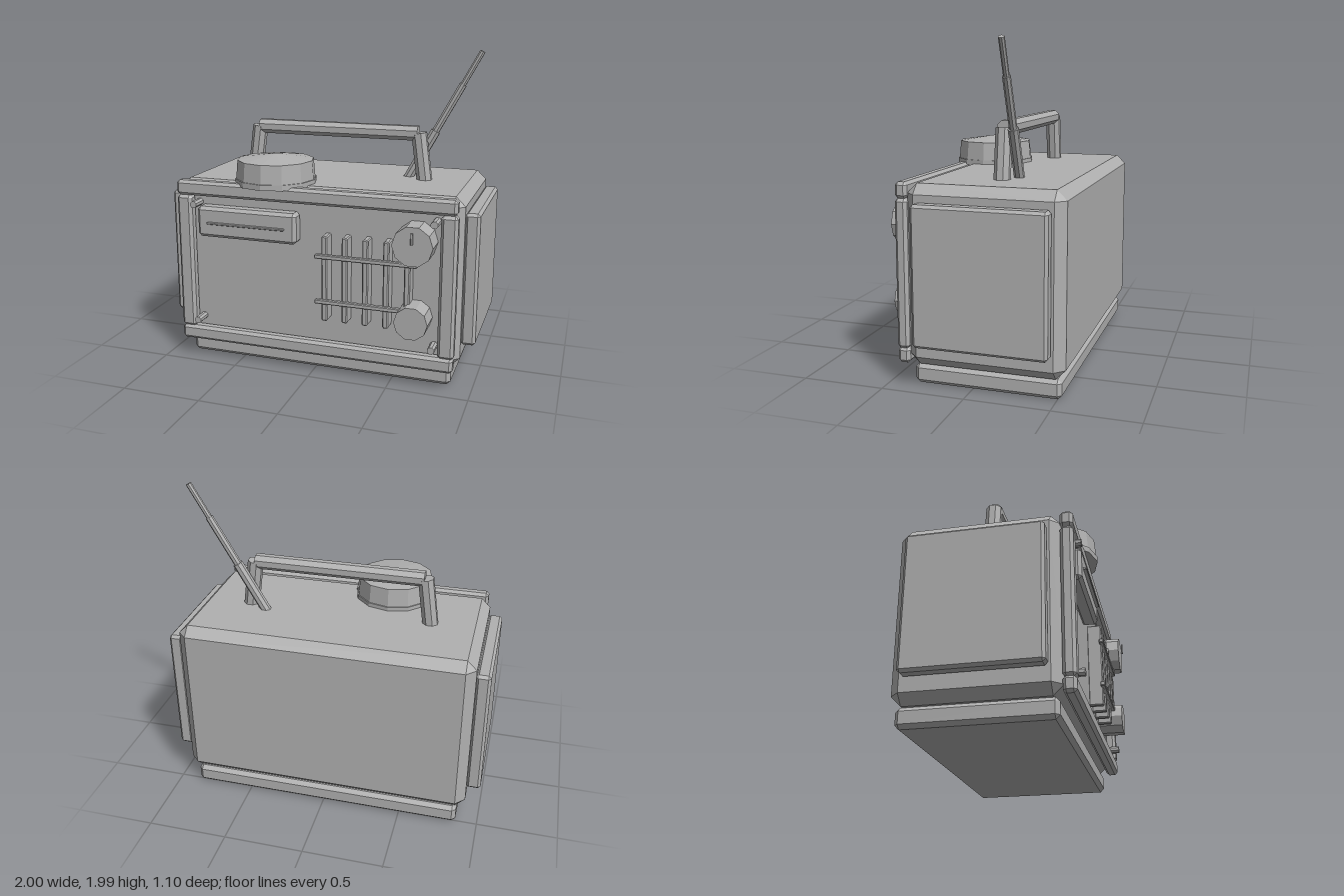
import * as THREE from 'three';
import { ConvexGeometry } from 'three/addons/geometries/ConvexGeometry.js';

// Box with every edge chamfered by c, given its two opposite corners
function chamferBox([x0, y0, z0], [x1, y1, z1], c) {
  const h = [(x1 - x0) / 2, (y1 - y0) / 2, (z1 - z0) / 2];
  const pts = [];
  for (const sx of [-1, 1]) for (const sy of [-1, 1]) for (const sz of [-1, 1]) {
    for (let k = 0; k < 3; k++) {
      const e = h.map((v, i) => (i === k ? v : v - c));
      pts.push(new THREE.Vector3(sx * e[0], sy * e[1], sz * e[2]));
    }
  }
  return new ConvexGeometry(pts).translate((x0 + x1) / 2, (y0 + y1) / 2, (z0 + z1) / 2);
}

// Faceted rod between two points
function rod(a, b, rBottom, rTop, sides) {
  const p = new THREE.Vector3(...a), q = new THREE.Vector3(...b);
  const dir = q.clone().sub(p);
  const g = new THREE.CylinderGeometry(rTop, rBottom, dir.length(), sides);
  g.rotateY(Math.PI / sides);
  g.applyQuaternion(new THREE.Quaternion().setFromUnitVectors(new THREE.Vector3(0, 1, 0), dir.normalize()));
  const m = p.add(q).multiplyScalar(0.5);
  return g.translate(m.x, m.y, m.z);
}

export function createModel() {
  const model = new THREE.Group();
  model.name = 'portableRadio';
  const grey = new THREE.MeshStandardMaterial({ color: 0xb0b0b0, flatShading: true });
  grey.name = 'plain grey';

  const add = (name, geometry) => {
    const mesh = new THREE.Mesh(geometry, grey);
    mesh.name = name;
    model.add(mesh);
    return mesh;
  };
  const block = (name, a, b, c) => add(name, chamferBox(a, b, c));

  // Case and plinth
  block('case', [-0.915, 0.12, -0.55], [0.915, 1.18, 0.38], 0.058);
  block('plinth', [-0.865, 0, -0.525], [0.865, 0.118, 0.355], 0.024);

  // Side panels and front frame posts
  for (const s of [-1, 1]) {
    const x = s * 0.955;
    block(s > 0 ? 'leftSidePanel' : 'rightSidePanel', [x - 0.045, 0.26, -0.48], [x + 0.045, 1.08, 0.31], 0.017);
    const px = s * 0.845;
    block(s > 0 ? 'leftFramePost' : 'rightFramePost', [px - 0.05, 0.21, 0.375], [px + 0.05, 1.09, 0.45], 0.018);
  }

  // Front frame rails
  block('topFrameRail', [-0.895, 1.09, 0.375], [0.89, 1.185, 0.45], 0.018);
  block('bottomFrameRail', [-0.895, 0.122, 0.375], [0.89, 0.215, 0.45], 0.018);

  // Corner screws
  for (const x of [-0.765, 0.765]) for (const y of [0.27, 1.04]) {
    add('screw', rod([x, y, 0.375], [x, y, 0.478], 0.023, 0.023, 8));
  }

  // Tuning display with its indicator strip
  block('tuningDisplay', [-0.745, 0.835, 0.37], [-0.085, 1.03, 0.47], 0.02);
  block('tuningStrip', [-0.67, 0.924, 0.46], [-0.157, 0.936, 0.49], 0.002);

  // Speaker grille
  for (let i = 0; i < 5; i++) {
    const x = 0.098 + i * 0.128;
    block('grilleUpright', [x - 0.018, 0.37, 0.375], [x + 0.018, 0.91, 0.468], 0.007);
  }
  for (const y of [0.498, 0.785]) {
    block('grilleCrossbar', [0.04, y - 0.014, 0.455], [0.672, y + 0.014, 0.485], 0.005);
  }

  // Control knobs and pointer
  for (const [y, r, name] of [[0.915, 0.122, 'upperKnob'], [0.445, 0.102, 'lowerKnob']]) {
    const g = new THREE.CylinderGeometry(r, r, 0.155, 10);
    g.rotateY(Math.PI / 2).rotateX(Math.PI / 2);
    add(name, g.translate(0.65, y, 0.4525));
  }
  block('knobPointer', [0.643, 0.93, 0.54], [0.657, 1.0, 0.55], 0.002);

  // Large dial on top: flange, drum and shallow cone
  const dialProfile = [[0, 1.17], [0.257, 1.17], [0.257, 1.205], [0.25, 1.205], [0.24, 1.322], [0, 1.357]]
    .map(([r, y]) => new THREE.Vector2(r, y));
  add('topDial', new THREE.LatheGeometry(dialProfile, 12).translate(-0.293, 0, 0.252));

  // Carry handle
  for (const s of [-1, 1]) {
    add(s > 0 ? 'leftHandleLeg' : 'rightHandleLeg',
      rod([s * 0.583, 1.16, -0.09], [s * 0.54, 1.475, -0.09], 0.05, 0.05, 8));
  }
  add('handleGrip', rod([-0.535, 1.472, -0.09], [0.535, 1.472, -0.09], 0.049, 0.049, 8));

  // Telescopic antenna
  const root = new THREE.Vector3(0.455, 1.16, -0.158), tip = new THREE.Vector3(0.9, 1.98, -0.196);
  const at = (t) => root.clone().lerp(tip, t).toArray();
  [[0, 0.39, 0.032], [0.38, 0.75, 0.024], [0.74, 1, 0.018]].forEach(([a, b, r]) => {
    add('antennaSection', rod(at(a), at(b), r, r, 8));
  });

  return model;
}
